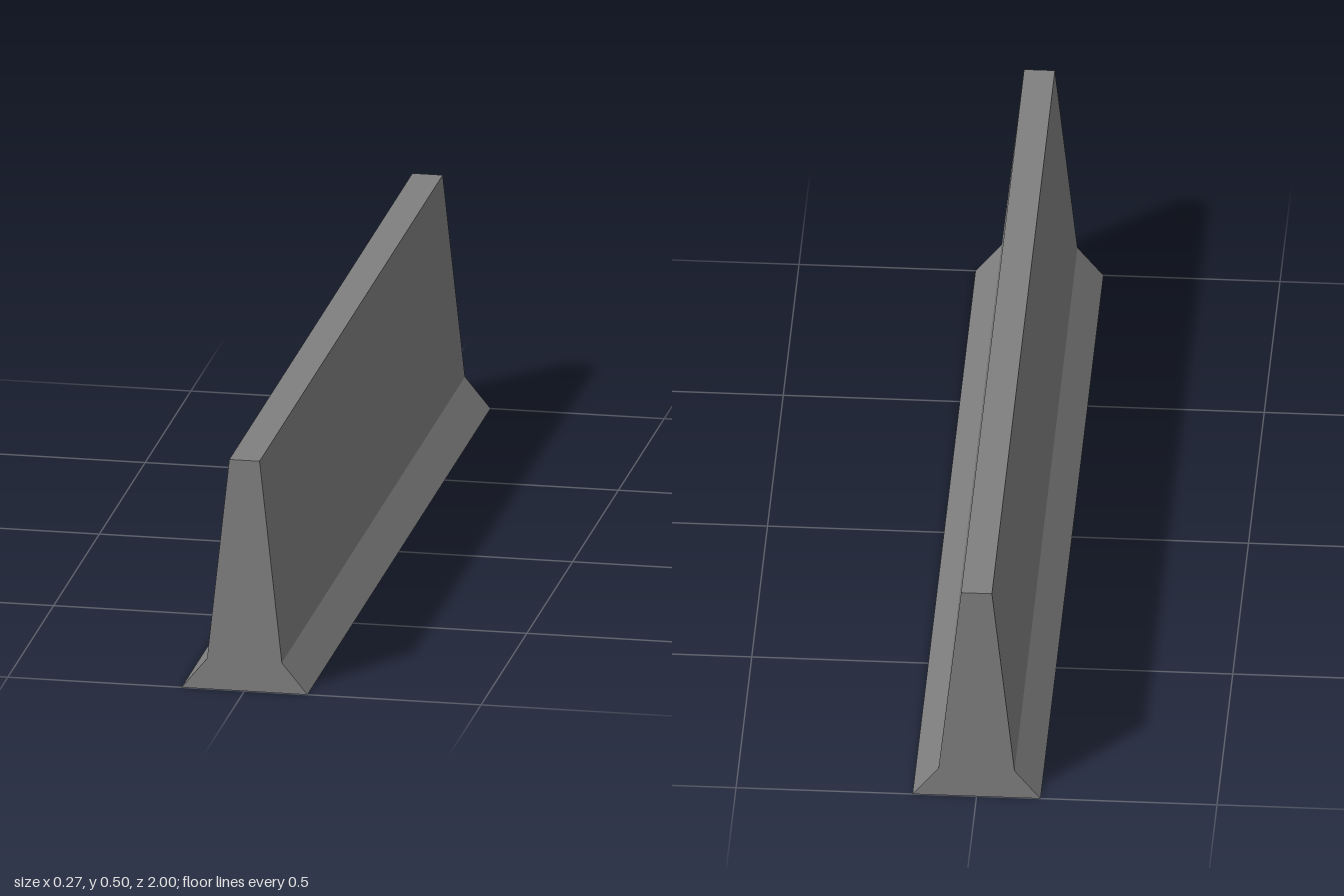
import * as THREE from 'three';

export function createModel() {
  const group = new THREE.Group();
  group.name = 'roadBarrier';
  const concrete = new THREE.MeshStandardMaterial({ color: 0x808080 });
  concrete.name = 'concrete grey';

  // Half profile from foot to top, mirrored to close the cross-section
  const half = [[0.133, 0], [0.079, 0.066], [0.032, 0.502]];
  const mirrored = half.map(([x, y]) => [-x, y]).reverse();
  const profile = new THREE.Shape([...half, ...mirrored].map(([x, y]) => new THREE.Vector2(x, y)));

  // Wall extruded along its length
  const length = 2;
  const geometry = new THREE.ExtrudeGeometry(profile, { depth: length, bevelEnabled: false });
  geometry.translate(0, 0, -length / 2);
  const wall = new THREE.Mesh(geometry, concrete);
  wall.name = 'barrierWall';
  group.add(wall);
  return group;
}
